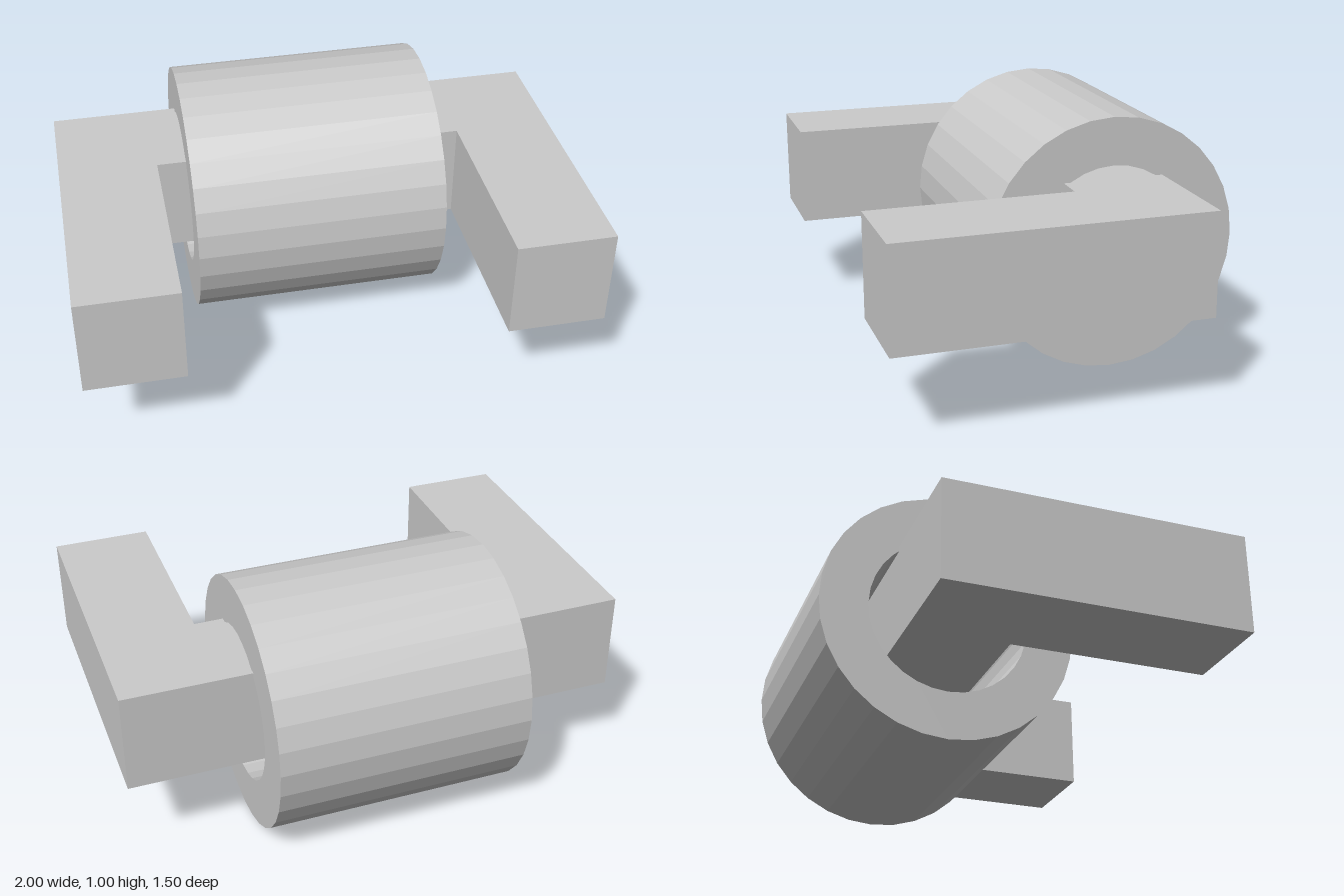
import * as THREE from 'three';

export function createModel() {
  const group = new THREE.Group();
  const material = new THREE.MeshStandardMaterial({ color: 0xcccccc, flatShading: true });

  function addExtrusion(name, shape, depth) {
    // an arc gets two sides per curve segment: 32 sides in all
    const geometry = new THREE.ExtrudeGeometry(shape, { depth, bevelEnabled: false, curveSegments: 16 });
    const mesh = new THREE.Mesh(geometry, material);
    mesh.name = name;
    group.add(mesh);
    return mesh;
  }

  // Hollow roller lying along x
  const ring = new THREE.Shape().absarc(0, 0, 0.5, 0, Math.PI * 2);
  ring.holes.push(new THREE.Path().absarc(0, 0, 0.3125, 0, Math.PI * 2, true));
  const roller = addExtrusion('roller', ring, 1);
  roller.rotation.y = Math.PI / 2;
  roller.position.set(-0.5, 0.5, -0.25);

  // U-shaped bracket: crossbar through the roller, two arms to the front
  const outline = [[-1, -0.45], [1, -0.45], [1, 0.745], [0.615, 0.745],
    [0.615, -0.05], [-0.615, -0.05], [-0.615, 0.745], [-1, 0.745]];
  const bracket = addExtrusion('bracket', new THREE.Shape(outline.map(([x, z]) => new THREE.Vector2(x, z))), 0.4);
  bracket.rotation.x = Math.PI / 2;
  bracket.position.y = 0.76;

  return group;
}
